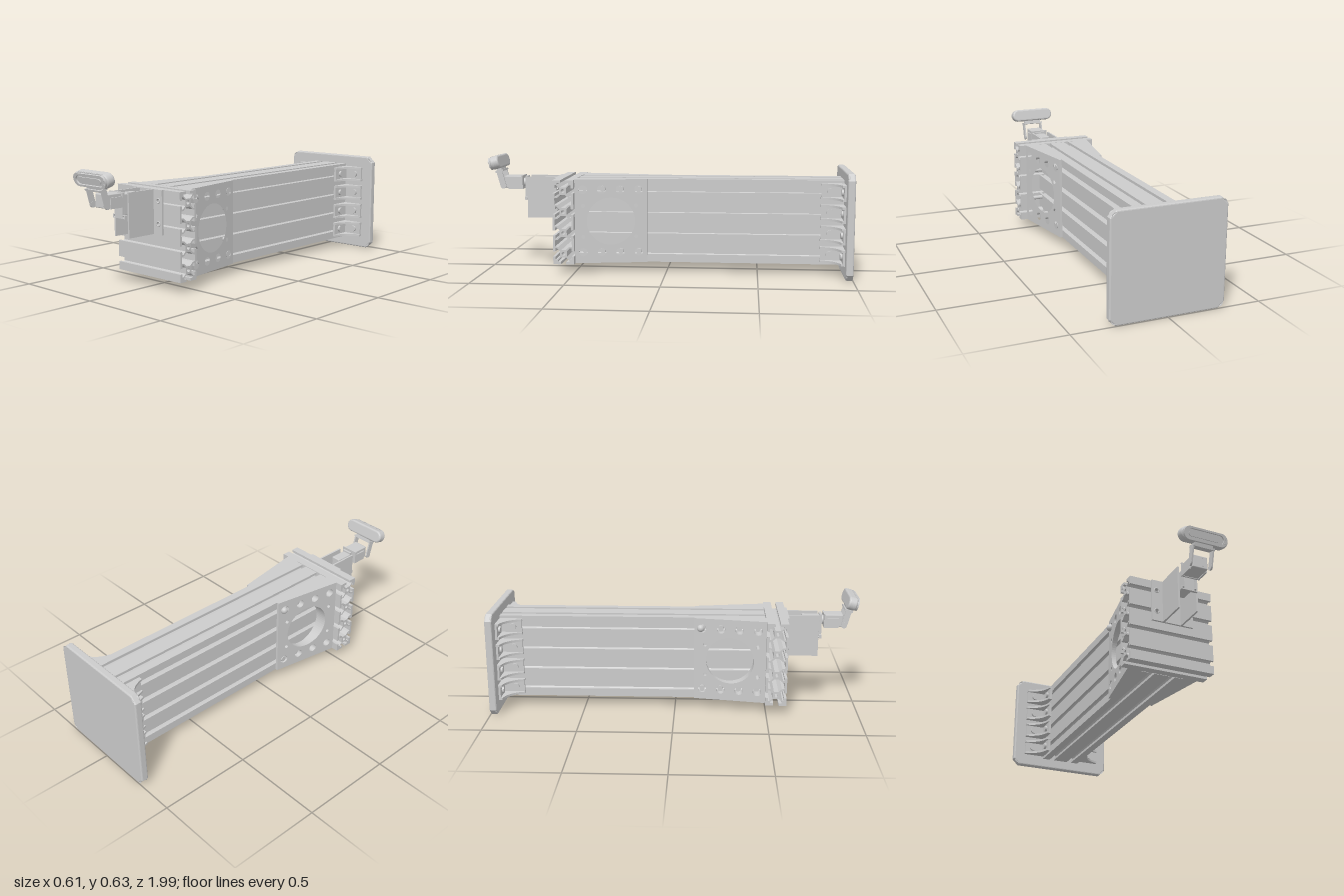
import * as THREE from 'three';
import { RoundedBoxGeometry } from 'three/addons/geometries/RoundedBoxGeometry.js';

const grey = new THREE.MeshStandardMaterial({ color: 0xcccccc });
const P = 0.115; // pitch of one slotted cell
const Y0 = 0.055, Y1 = 0.515, YM = 0.285;

function add(parent, name, geo, x = 0, y = 0, z = 0) {
  const m = new THREE.Mesh(geo, grey);
  m.name = name;
  m.position.set(x, y, z);
  parent.add(m);
  return m;
}
const box = (w, h, d) => new THREE.BoxGeometry(w, h, d);
const cylZ = (r, h) => new THREE.CylinderGeometry(r, r, h, 20).rotateX(Math.PI / 2);
const cylX = (r, h) => new THREE.CylinderGeometry(r, r, h, 20).rotateZ(Math.PI / 2);
const poly = pts => new THREE.Shape(pts.map(p => new THREE.Vector2(p[0], p[1])));
const extrude = (shape, depth, opts = {}) =>
  new THREE.ExtrudeGeometry(shape, { depth, bevelEnabled: false, curveSegments: 20, ...opts });
function hole(shape, x, y, r) {
  const p = new THREE.Path();
  p.absarc(x, y, r, 0, Math.PI * 2, true);
  shape.holes.push(p);
}
function pill(halfLength, r, Kind = THREE.Shape) {
  const s = new Kind();
  s.absarc(halfLength - r, 0, r, -Math.PI / 2, Math.PI / 2, false);
  s.absarc(r - halfLength, 0, r, Math.PI / 2, Math.PI * 1.5, false);
  s.closePath();
  return s;
}

// Aluminium profile outline, with a T-slot in every cell of every side
function slotProfile(nx, ny) {
  const slot = [[-0.014, 0], [-0.014, 0.014], [-0.031, 0.014], [-0.031, 0.022], [-0.015, 0.038],
    [0.015, 0.038], [0.031, 0.022], [0.031, 0.014], [0.014, 0.014], [0.014, 0]];
  const pts = [];
  for (let side = 0; side < 4; side++) {
    const along = side % 2 ? ny : nx, across = side % 2 ? nx : ny;
    const a = side * Math.PI / 2, c = Math.cos(a), s = Math.sin(a);
    const put = (u, v) => pts.push([u * c - v * s, u * s + v * c]);
    put(-along * P / 2, -across * P / 2);
    for (let i = 0; i < along; i++)
      for (const [u, d] of slot) put((i + 0.5 - along / 2) * P + u, d - across * P / 2);
  }
  return poly(pts);
}

// Base plate with bevelled edges and countersunk corner holes
function basePlate(g) {
  const w = 0.297, h = 0.275, k = 0.03;
  const s = poly([[-w + k, -h], [w - k, -h], [w, -h + k], [w, h - k], [w - k, h], [-w + k, h], [-w, h - k], [-w, -h + k]]);
  for (const x of [-0.275, 0.275]) for (const y of [-0.253, 0.253]) hole(s, x, y, 0.022);
  add(g, 'basePlate', extrude(s, 0.024, { bevelThickness: 0.008, bevelSize: 0.008, bevelSegments: 3, bevelEnabled: true }), 0, 0.283, -0.992);
  for (const x of [-0.275, 0.275]) for (const y of [0.03, 0.536])
    add(g, 'cornerHoleRim', new THREE.TorusGeometry(0.0175, 0.005, 8, 24), x, y, -0.966);
}

// Hollow corner brackets joining the beam to the base plate
function cornerBracket(g, side, y) {
  const b = new THREE.Group();
  b.name = 'cornerBracket';
  const s = new THREE.Shape();
  s.moveTo(side * P, -0.965);
  s.lineTo(side * 0.24, -0.965);
  s.lineTo(side * 0.24, -0.94);
  s.bezierCurveTo(side * 0.19, -0.93, side * 0.15, -0.9, side * 0.135, -0.835);
  s.lineTo(side * P, -0.835);
  s.closePath();
  for (const dy of [-0.031, 0.043]) add(b, 'bracketCheek', extrude(s, 0.012).rotateX(Math.PI / 2), 0, dy, 0);
  add(b, 'bracketFoot', box(0.12, 0.07, 0.012), side * 0.177, 0, -0.955);
  add(b, 'bracketLeg', box(0.014, 0.07, 0.125), side * 0.12, 0, -0.9);
  add(b, 'bracketBolt', cylX(0.018, 0.014), side * 0.133, 0, -0.885);
  add(b, 'bracketBolt', cylZ(0.018, 0.014), side * 0.19, 0, -0.945);
  b.position.y = y;
  g.add(b);
}

// Tapered side block: a unit-deep extrusion whose thickness grows towards the front
function sideBlock(g, side) {
  const thick = z => 0.014 + (z - 0.11) * 0.17;
  const bolts = [0.15, 0.25, 0.35, 0.45];
  const f = -side; // profile direction after turning
  const s = poly([[f * 0.105, Y0], [f * 0.495, Y0], [f * 0.495, Y1], [f * 0.105, Y1]]);
  hole(s, f * 0.3, YM, 0.13);
  for (const z of bolts) for (const y of [0.115, 0.46]) hole(s, f * z, y, 0.023);
  for (const z of [0.165, 0.45]) for (const y of [0.2, 0.37]) hole(s, f * z, y, 0.011);
  const geo = extrude(s, 1, { curveSegments: 32 }).rotateY(side * Math.PI / 2);
  const p = geo.attributes.position;
  for (let i = 0; i < p.count; i++) p.setX(i, side * P + p.getX(i) * thick(p.getZ(i)));
  geo.computeVertexNormals();
  add(g, 'sideBlock', geo);
  for (const z of bolts) for (const y of [0.115, 0.46])
    add(g, 'sideBolt', cylX(0.015, 0.02), side * (P + 0.008), y, z);
}

// U bracket with two drilled flanges on the front of the cross beam
function headBracket(g) {
  const s = poly([[-P, YM], [P, YM], [P, Y1], [-P, Y1]]);
  for (const x of [-0.088, 0.088]) for (const y of [0.34, 0.458]) {
    hole(s, x, y, 0.01);
    add(g, 'flangeHoleRim', new THREE.TorusGeometry(0.012, 0.003, 8, 20), x, y, 0.62);
  }
  add(g, 'bracketFlange', extrude(s, 0.011), 0, 0, 0.609);
  for (const x of [-0.05, 0.05]) add(g, 'bracketWall', box(0.01, Y1 - YM, 0.172), x, (Y0 + Y1) / 2 + 0.115, 0.7);
}

// Pan servo between the walls, tilt servo in front of it
function servos(g) {
  add(g, 'panServo', new RoundedBoxGeometry(0.056, 0.11, 0.1, 2, 0.006), 0, 0.452, 0.745);
  const s = poly([[-0.045, 0.383], [0.045, 0.383], [0.045, 0.402], [0.028, 0.402], [0.028, Y1], [-0.028, Y1], [-0.028, 0.402], [-0.045, 0.402]]);
  for (const x of [-0.033, 0.033]) hole(s, x, 0.392, 0.006);
  add(g, 'servoTab', extrude(s, 0.014), 0, 0, 0.79);
  add(g, 'servoHorn', cylZ(0.025, 0.02), 0, 0.48, 0.81);
  add(g, 'tiltServoFrame', box(0.1, 0.075, 0.008), 0, 0.482, 0.818);
  add(g, 'tiltServo', new RoundedBoxGeometry(0.084, 0.07, 0.1, 2, 0.005), 0, 0.482, 0.868);
  for (const x of [-0.045, 0.045]) add(g, 'tiltServoCheek', box(0.008, 0.055, 0.08), x, 0.472, 0.855);
  for (const y of [0.462, 0.505]) add(g, 'servoScrew', cylZ(0.004, 0.006), 0.017, y, 0.918);
}

// Tilting yoke carrying the pill-shaped sensor
function tiltHead(g) {
  const h = new THREE.Group();
  h.name = 'tiltHead';
  h.position.set(0, 0.462, 0.922);
  h.rotation.x = 0.27;
  for (const x of [-0.055, 0.055]) {
    add(h, 'yokeArm', box(0.008, 0.09, 0.032), x, 0.04, 0);
    add(h, 'yokePivot', cylX(0.016, 0.01), x, 0, 0);
  }
  add(h, 'yokeTop', box(0.118, 0.01, 0.045), 0, 0.085, 0);
  add(h, 'sensorFoot', box(0.1, 0.02, 0.03), 0, 0.097, 0);

  const c = new THREE.Group();
  c.name = 'sensor';
  c.position.set(0, 0.137, 0);
  const bevel = { bevelEnabled: true, bevelThickness: 0.01, bevelSize: 0.01, bevelSegments: 4 };
  add(c, 'sensorBody', extrude(pill(0.119, 0.026), 0.028, bevel), 0, 0, -0.019);
  const rim = pill(0.119, 0.034);
  rim.holes.push(pill(0.1, 0.024, THREE.Path));
  add(c, 'sensorRim', extrude(rim, 0.014), 0, 0, 0.014);
  add(c, 'sensorWindow', extrude(pill(0.085, 0.014), 0.006), -0.005, 0, 0.018);
  for (const y of [-0.012, 0.012]) add(c, 'sensorButton', cylZ(0.006, 0.006), 0.11, y, 0.028);
  for (let i = 0; i < 18; i++) add(c, 'sensorVent', box(0.006, 0.004, 0.012), -0.085 + i * 0.01, 0.035, 0.013);
  h.add(c);
  g.add(h);
}

export function createModel() {
  const g = new THREE.Group();
  g.name = 'beamStand';
  basePlate(g);
  add(g, 'mainBeam', extrude(slotProfile(2, 4), 1.455), 0, YM, -0.965);

  // Cross beam: open profile with bores and hollows between the cells
  const cross = slotProfile(1, 4);
  for (let i = 0; i < 4; i++) hole(cross, 0, (i - 1.5) * P, 0.01);
  const quarter = [[0.046, 0.017], [0.03, 0.02], [0.012, 0.036]];
  for (let i = -1; i <= 1; i++) {
    const right = [...quarter.map(([x, y]) => [x, -y]).reverse(), ...quarter.slice()];
    const left = right.map(([x, y]) => [-x, y]).reverse();
    cross.holes.push(new THREE.Path([...right, ...left].map(([x, y]) => new THREE.Vector2(x, y + i * P))));
  }
  add(g, 'crossBeam', extrude(cross, 0.464).rotateY(Math.PI / 2), -0.232, YM, 0.5515);

  for (const side of [-1, 1]) {
    for (let i = 0; i < 4; i++) cornerBracket(g, side, YM + (i - 1.5) * P);
    sideBlock(g, side);
  }
  add(g, 'sideKnob', new THREE.SphereGeometry(0.02, 16, 12), -0.136, 0.46, 0.14);
  headBracket(g);
  servos(g);
  tiltHead(g);
  return g;
}
